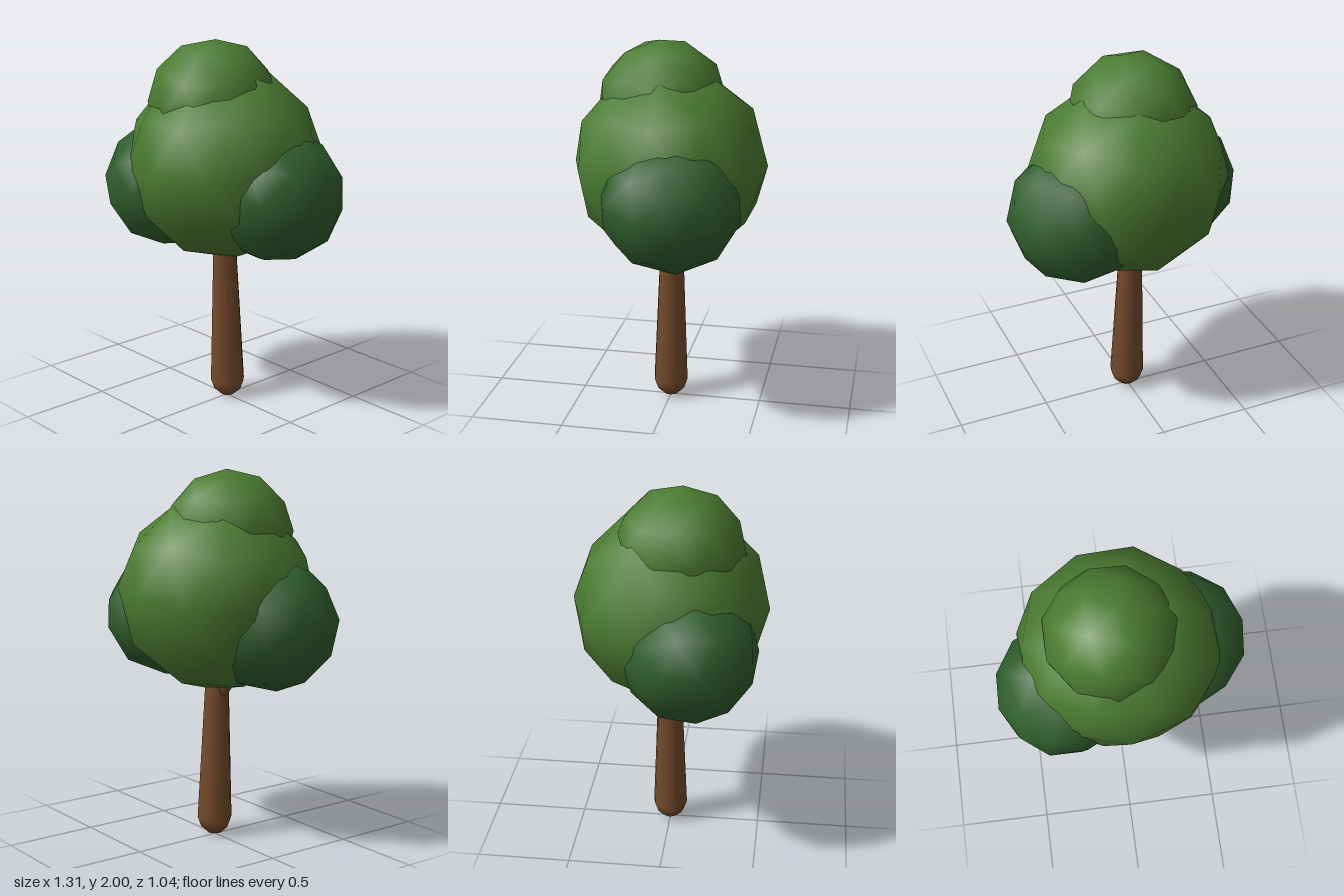
import * as THREE from 'three';

const LIGHT_GREEN = 0x4b7c32, DARK_GREEN = 0x305f2d, BROWN = 0x754a2c;

// Twist that stands an icosphere on one of its vertices
const POLE_UP = -Math.atan(2 / (1 + Math.sqrt(5)));

function leafBall(name, color, radii, position, rotation) {
  const geometry = new THREE.IcosahedronGeometry(1, 1).rotateZ(POLE_UP);
  const mesh = new THREE.Mesh(geometry, new THREE.MeshStandardMaterial({ color }));
  mesh.name = name;
  mesh.scale.set(...radii);
  mesh.position.set(...position);
  mesh.rotation.set(...rotation);
  return mesh;
}

function createTrunk(material) {
  // Tapered post with a rounded foot
  const profile = [
    [0, 0], [0.04, 0.012], [0.075, 0.045], [0.094, 0.1],
    [0.064, 0.85], [0.056, 1.0], [0, 1.03],
  ].map(([x, y]) => new THREE.Vector2(x, y));
  const geometry = new THREE.LatheGeometry(profile, 12);

  // Slight lean towards -x
  const p = geometry.attributes.position;
  for (let i = 0; i < p.count; i++) p.setX(i, p.getX(i) + 0.004 - 0.029 * Math.max(0, p.getY(i) - 0.1));
  geometry.computeBoundingSphere();

  const trunk = new THREE.Mesh(geometry, material);
  trunk.name = 'trunk';
  return trunk;
}

function createBranch(material) {
  const start = new THREE.Vector3(-0.03, 0.78, 0);
  const end = new THREE.Vector3(-0.23, 1.06, 0.04);
  const along = end.clone().sub(start);
  const branch = new THREE.Mesh(new THREE.CylinderGeometry(0.03, 0.036, along.length(), 8), material);
  branch.name = 'branch';
  branch.position.copy(start).add(end).multiplyScalar(0.5);
  branch.quaternion.setFromUnitVectors(new THREE.Vector3(0, 1, 0), along.normalize());
  return branch;
}

export function createModel() {
  const tree = new THREE.Group();
  tree.name = 'tree';

  // Wood
  const bark = new THREE.MeshStandardMaterial({ color: BROWN });
  tree.add(createTrunk(bark), createBranch(bark));

  // Foliage
  tree.add(
    leafBall('mainCanopy', LIGHT_GREEN, [0.54, 0.53, 0.52], [-0.005, 1.345, 0.005], [0.02, 0, 0.07]),
    leafBall('topCanopy', LIGHT_GREEN, [0.345, 0.335, 0.345], [-0.048, 1.665, 0.053], [0.04, 0, -0.1]),
    leafBall('rightCanopy', DARK_GREEN, [0.355, 0.355, 0.36], [-0.31, 1.2, 0.135], [0, 0.25, 0.45]),
    leafBall('leftCanopy', DARK_GREEN, [0.365, 0.355, 0.375], [0.31, 1.213, -0.055], [-0.2, 0, -0.15]),
  );
  return tree;
}
